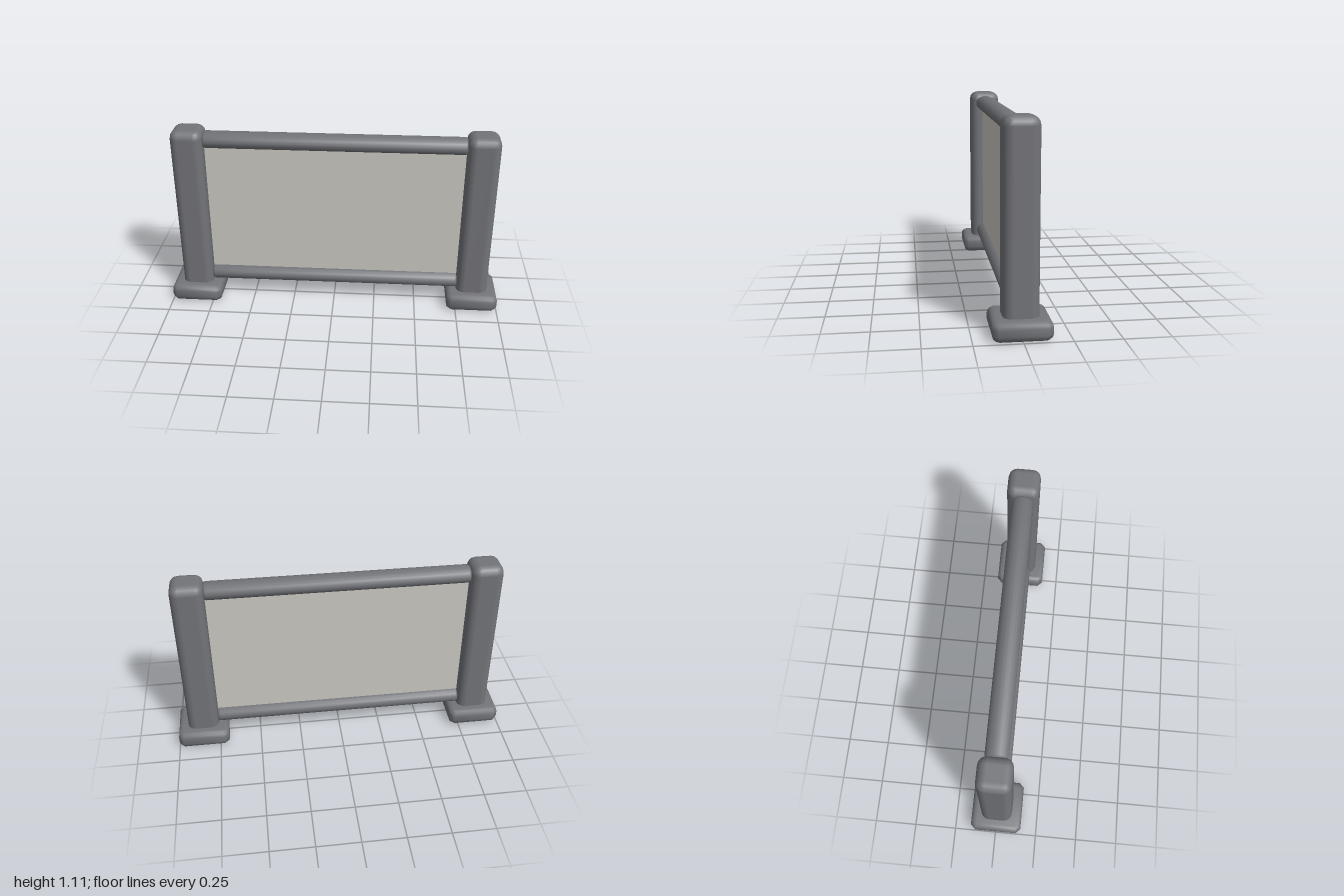
import * as THREE from 'three';
import { RoundedBoxGeometry } from 'three/addons/geometries/RoundedBoxGeometry.js';
import { toCreasedNormals } from 'three/addons/utils/BufferGeometryUtils.js';

const frameGrey = new THREE.MeshStandardMaterial({ color: 0x737479 });
frameGrey.name = 'frame grey';
const panelCream = new THREE.MeshStandardMaterial({ color: 0xcac9c1 });
panelCream.name = 'panel cream';

function addMesh(parent, name, geometry, material, x, y, z) {
  const mesh = new THREE.Mesh(geometry, material);
  mesh.name = name;
  mesh.position.set(x, y, z);
  parent.add(mesh);
  return mesh;
}

// Square foot with rounded upper and lower edges and nearly square corners
function footGeometry(width, height, bevel) {
  const h = width / 2 - bevel;
  const c = 0.008;
  const shape = new THREE.Shape([
    [h - c, -h], [h, c - h], [h, h - c], [h - c, h],
    [c - h, h], [-h, h - c], [-h, c - h], [c - h, -h],
  ].map(([x, y]) => new THREE.Vector2(x, y)));
  const geometry = new THREE.ExtrudeGeometry(shape, {
    depth: height - 2 * bevel, bevelSize: bevel, bevelThickness: bevel, bevelSegments: 3,
  });
  geometry.rotateX(-Math.PI / 2);
  geometry.translate(0, bevel, 0);
  return toCreasedNormals(geometry, 0.9);
}

// Oval bar along x with softly rounded ends
function railGeometry(length, radiusY, radiusZ) {
  const h = length / 2;
  const e = 0.015;
  const profile = [
    [0, -h], [radiusY - e, -h], [radiusY - 0.3 * e, -h + 0.3 * e], [radiusY, -h + e],
    [radiusY, h - e], [radiusY - 0.3 * e, h - 0.3 * e], [radiusY - e, h], [0, h],
  ].map(([r, y]) => new THREE.Vector2(r, y));
  const geometry = new THREE.LatheGeometry(profile, 20);
  geometry.rotateZ(Math.PI / 2);
  geometry.scale(1, 1, radiusZ / radiusY);
  return toCreasedNormals(geometry, 0.9);
}

export function createModel() {
  const model = new THREE.Group();
  model.name = 'framedPanel';

  // Posts on their feet
  const foot = footGeometry(0.306, 0.104, 0.034);
  const post = new RoundedBoxGeometry(0.188, 1.055, 0.188, 2, 0.05);
  for (const [side, name] of [[1, 'left'], [-1, 'right']]) {
    addMesh(model, name + 'Foot', foot, frameGrey, side * 0.847, 0, 0);
    addMesh(model, name + 'Post', post, frameGrey, side * 0.846, 0.5775, 0);
  }

  // Rails above and below the panel
  const rail = railGeometry(1.515, 0.049, 0.063);
  addMesh(model, 'topRail', rail, frameGrey, 0, 1.033, 0);
  addMesh(model, 'bottomRail', rail, frameGrey, 0, 0.148, 0);

  // Panel, tucked into the frame on all sides
  addMesh(model, 'panel', new THREE.BoxGeometry(1.53, 0.84, 0.04), panelCream, 0, 0.591, 0);

  return model;
}
